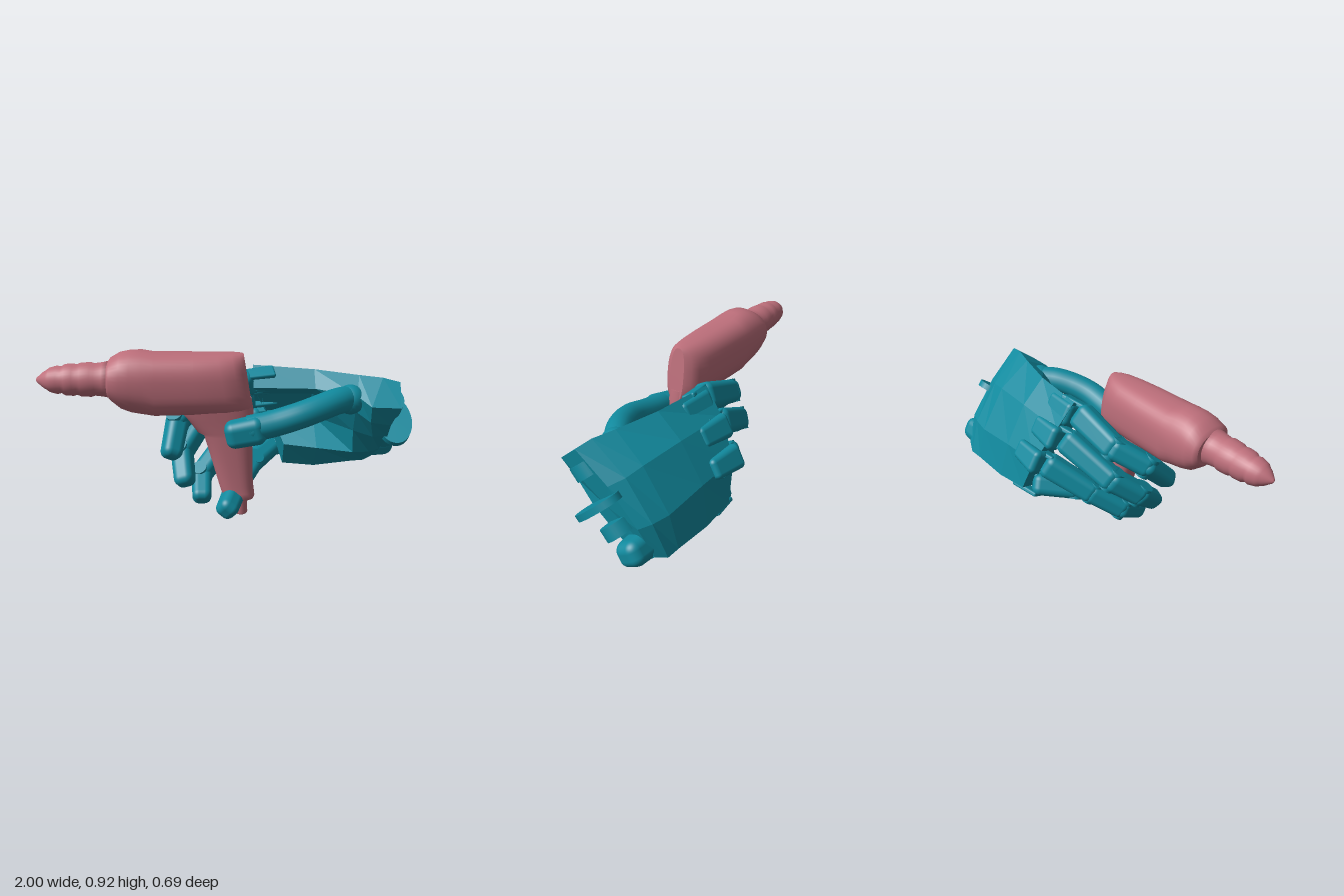
import * as THREE from 'three';
import { RoundedBoxGeometry } from 'three/addons/geometries/RoundedBoxGeometry.js';

const V = (x, y, z) => new THREE.Vector3(x, y, z);
const teal = new THREE.MeshStandardMaterial({ color: 0x118a9e });
const tealFlat = new THREE.MeshStandardMaterial({ color: 0x118a9e, flatShading: true });
const pink = new THREE.MeshStandardMaterial({ color: 0xbd6f7b });

function add(parent, name, geometry, material) {
  const mesh = new THREE.Mesh(geometry, material);
  mesh.name = name;
  parent.add(mesh);
  return mesh;
}

// Closed skin through a row of rings, capped at both ends, always facing outward
function loft(rings) {
  const n = rings[0].length, pos = [], idx = [];
  rings.forEach(r => r.forEach(p => pos.push(p.x, p.y, p.z)));
  for (let i = 0; i < rings.length - 1; i++) {
    for (let j = 0; j < n; j++) {
      const a = i * n + j, b = i * n + (j + 1) % n;
      idx.push(a, b, a + n, b, b + n, a + n);
    }
  }
  for (const [ring, flip] of [[rings[0], true], [rings[rings.length - 1], false]]) {
    const c = ring.reduce((s, p) => s.add(p), V(0, 0, 0)).divideScalar(n);
    const base = pos.length / 3;
    [...ring, c].forEach(p => pos.push(p.x, p.y, p.z));
    for (let j = 0; j < n; j++) {
      const a = base + j, b = base + (j + 1) % n;
      if (flip) idx.push(b, a, base + n); else idx.push(a, b, base + n);
    }
  }
  let volume = 0;
  const P = i => V(pos[3 * i], pos[3 * i + 1], pos[3 * i + 2]);
  for (let i = 0; i < idx.length; i += 3) {
    volume += P(idx[i]).dot(P(idx[i + 1]).cross(P(idx[i + 2])));
  }
  if (volume < 0) idx.reverse();
  const g = new THREE.BufferGeometry();
  g.setAttribute('position', new THREE.Float32BufferAttribute(pos, 3));
  g.setIndex(idx);
  g.computeVertexNormals();
  return g;
}

// Rounded-square outline; place() turns its two coordinates into a point
function ring(power, place, n = 40) {
  return Array.from({ length: n }, (_, i) => {
    const t = i / n * Math.PI * 2, c = Math.cos(t), s = Math.sin(t);
    const f = v => Math.sign(v) * Math.abs(v) ** (2 / power);
    return place(f(c), f(s));
  });
}

// Tapered, well rounded block from a to b, its flat back turned along "back"
function link(parent, name, a, b, w0, w1, t0, t1, overlap = 0.02, back = V(0, 0.5, -0.86)) {
  const d = b.clone().sub(a), len = d.length() + overlap * 2;
  d.normalize();
  const g = new RoundedBoxGeometry(w0, len, t0, 6, Math.min(w0, len, t0) * 0.36);
  const p = g.attributes.position;
  for (let i = 0; i < p.count; i++) {
    const k = p.getY(i) / len + 0.5;
    p.setX(i, p.getX(i) * THREE.MathUtils.lerp(1, w1 / w0, k));
    p.setZ(i, p.getZ(i) * THREE.MathUtils.lerp(1, t1 / t0, k));
  }
  const n = back.clone().addScaledVector(d, -back.dot(d)).normalize();
  g.applyMatrix4(new THREE.Matrix4().makeBasis(d.clone().cross(n), d, n));
  add(parent, name, g, teal).position.copy(a).add(b).multiplyScalar(0.5);
}

// Cylinder whose axis follows a given direction
function disc(parent, name, at, axis, radius, width, stretch = 1) {
  const g = new THREE.CylinderGeometry(radius, radius, width, 32);
  g.scale(1, 1, stretch);
  const y = axis.clone().normalize(), x = V(1, 0, 0).addScaledVector(y, -y.x).normalize();
  g.applyMatrix4(new THREE.Matrix4().makeBasis(x, y, x.clone().cross(y)));
  add(parent, name, g, teal).position.copy(at);
}

function makeDrill() {
  const drill = new THREE.Group();
  drill.name = 'drill';
  // Motor housing: x, centre y, half height, half depth, centre z
  const body = [
    [-0.635, 0.77, 0.088, 0.11, 0.18], [-0.62, 0.77, 0.108, 0.132, 0.177], [-0.57, 0.762, 0.145, 0.138, 0.177],
    [-0.52, 0.757, 0.16, 0.14, 0.177], [-0.46, 0.752, 0.167, 0.14, 0.175], [-0.4, 0.742, 0.163, 0.138, 0.175],
    [-0.2, 0.741, 0.161, 0.133, 0.172], [-0.05, 0.74, 0.161, 0.122, 0.168], [0.02, 0.74, 0.16, 0.105, 0.166],
    [0.06, 0.74, 0.158, 0.08, 0.165], [0.083, 0.74, 0.155, 0.045, 0.165]];
  add(drill, 'motorHousing', loft(body.map(([x, cy, h, d, cz], i) =>
    ring(i > 4 ? 2.6 : 2.2, (u, v) => V(x - (i > 6 ? v * 0.025 : 0), cy + v * h, cz + u * d)))), pink);
  // Chuck with soft steps and a pointed end
  const nose = [[0, -0.6], [0.1, -0.6], [0.088, -0.66], [0.083, -0.7], [0.089, -0.72], [0.086, -0.77],
    [0.078, -0.79], [0.083, -0.81], [0.08, -0.85], [0.068, -0.87], [0.073, -0.89], [0.062, -0.93],
    [0.05, -0.945], [0.042, -0.96], [0.012, -0.995], [0, -1]];
  const chuck = add(drill, 'chuck',
    new THREE.LatheGeometry(nose.map(([r, y]) => new THREE.Vector2(r, -y)), 32), pink);
  chuck.rotation.z = Math.PI / 2;
  chuck.position.set(0, 0.77, 0.187);
  // Handle: y, front x, rear x, half depth
  const grip = [[0.66, -0.3, 0.1, 0.09], [0.59, -0.27, 0.112, 0.085], [0.55, -0.235, 0.112, 0.08],
    [0.48, -0.185, 0.108, 0.075], [0.46, -0.15, 0.106, 0.074], [0.3, -0.105, 0.108, 0.075], [0.18, -0.072, 0.112, 0.076],
    [0.14, -0.06, 0.117, 0.08], [0.115, -0.05, 0.12, 0.08], [0.1, -0.04, 0.115, 0.07]];
  add(drill, 'handle', loft(grip.map(([y, x0, x1, d]) =>
    ring(2.6, (u, v) => V((x0 + x1) / 2 + u * (x1 - x0) / 2, y, 0.165 + v * d)))), pink);
  const stub = [[0, 0], [0.03, 0], [0.036, 0.008], [0.034, 0.09], [0.045, 0.11], [0, 0.11]];
  add(drill, 'cordStub', new THREE.LatheGeometry(stub.map(([r, y]) => new THREE.Vector2(r, y)), 24), pink)
    .position.set(0.047, 0, 0.165);
  return drill;
}

function makeHand() {
  const hand = new THREE.Group();
  hand.name = 'hand';
  // Palm sections from knuckles to wrist, each going round: index edge, back, little-finger edge, hollow inside
  const sections = [
    [[0.12, 0.67, 0.03], [0.12, 0.775, -0.06], [0.14, 0.64, -0.17], [0.2, 0.45, -0.29], [0.28, 0.24, -0.32],
      [0.3, 0.17, -0.13], [0.3, 0.31, -0.06], [0.24, 0.42, -0.22], [0.14, 0.6, -0.1]],
    [[0.45, 0.67, 0.06], [0.45, 0.76, -0.01], [0.45, 0.64, -0.15], [0.45, 0.43, -0.28], [0.48, 0.22, -0.33],
      [0.48, 0.16, -0.11], [0.48, 0.3, -0.02], [0.48, 0.43, -0.2], [0.45, 0.6, -0.08]],
    [[0.66, 0.655, 0.16], [0.68, 0.745, 0.06], [0.7, 0.62, -0.12], [0.7, 0.4, -0.27], [0.7, 0.22, -0.32],
      [0.7, 0.18, -0.12], [0.68, 0.28, 0.0], [0.67, 0.42, 0.03], [0.66, 0.56, 0.12]],
    [[0.72, 0.62, 0.24], [0.8, 0.74, 0.1], [0.8, 0.6, -0.1], [0.8, 0.4, -0.25], [0.78, 0.22, -0.32],
      [0.78, 0.16, -0.18], [0.78, 0.27, -0.03], [0.77, 0.4, 0.08], [0.73, 0.52, 0.19]],
    [[0.87, 0.615, 0.245], [0.89, 0.72, 0.12], [0.88, 0.58, -0.06], [0.87, 0.4, -0.22], [0.84, 0.25, -0.29],
      [0.83, 0.17, -0.21], [0.84, 0.28, -0.05], [0.85, 0.4, 0.08], [0.84, 0.5, 0.18]]];
  add(hand, 'palm', loft(sections.map(s => s.map(p => V(...p)))), tealFlat);

  // Wrist lugs: position, radius, thickness, stretch
  const across = V(0, -0.75, -0.65);
  [[V(0.84, 0.6, 0.1), 0.075, 0.075, 1.1], [V(0.9, 0.46, -0.01), 0.1, 0.035, 1.5],
    [V(0.87, 0.36, -0.1), 0.085, 0.07, 0.9]]
    .forEach(([at, r, w, s]) => disc(hand, 'wristLug', at, across, r, w, s));
  link(hand, 'wristKnob', V(0.78, 0.27, -0.2), V(0.92, 0.27, -0.2), 0.15, 0.13, 0.16, 0.14, 0.03);

  // Fingers: knuckle, middle joint, end joint, tip, width at the root, width beyond
  const fingers = {
    index: [V(0.1, 0.69, -0.03), V(-0.15, 0.605, -0.02), V(-0.29, 0.51, 0.09), V(-0.32, 0.38, 0.21), 0.15, 0.125],
    middle: [V(0.1, 0.57, -0.13), V(-0.18, 0.43, -0.06), V(-0.27, 0.32, 0.06), V(-0.255, 0.21, 0.18), 0.145, 0.125],
    ring: [V(0.15, 0.43, -0.23), V(-0.05, 0.285, -0.09), V(-0.165, 0.175, 0.03), V(-0.165, 0.1, 0.15), 0.14, 0.12],
    little: [V(0.25, 0.24, -0.24), V(0.12, 0.2, -0.07), V(0.03, 0.14, 0.11), V(-0.03, 0.083, 0.29), 0.125, 0.13]
  };
  for (const [name, [a, b, c, d, w0, w]] of Object.entries(fingers)) {
    const finger = new THREE.Group();
    finger.name = name + 'Finger';
    hand.add(finger);
    link(finger, 'lowerLink', a, b, w0, w, 0.115, w * 0.95, 0.025);
    link(finger, 'middleLink', b, c, w, w * 0.95, w * 0.95, w * 0.92, 0.03);
    link(finger, 'fingertip', c, d, w * 0.95, w * 0.85, w * 0.92, w * 0.82, 0.04);
    const axis = b.clone().sub(a).cross(V(0, 0.5, -0.86)).normalize();
    for (const joint of [b, c]) disc(finger, 'jointPin', joint, axis, w * 0.36, w);
    // Forked knuckle reaching back into the palm
    for (const s of [-1, 1]) {
      const off = axis.clone().multiplyScalar(s * w * 0.42);
      const root = a.clone().add(off).add(V(0.13, 0.01, -0.02));
      link(finger, 'knuckleFork', root, a.clone().add(off), 0.03, 0.025, 0.08, 0.07);
    }
  }
  // Rounded covers over the three upper knuckles
  [V(0.2, 0.69, -0.07), V(0.2, 0.585, -0.18), V(0.235, 0.455, -0.28)].forEach(at =>
    link(hand, 'knuckleCover', at.clone().add(V(0.1, 0, 0.015)), at.clone().add(V(-0.06, 0, 0)),
      0.11, 0.14, 0.07, 0.1));

  // Thumb: smooth arched rod with a rounded tip
  const path = new THREE.CatmullRomCurve3([V(0.72, 0.6, 0.08), V(0.64, 0.625, 0.1), V(0.55, 0.632, 0.165),
    V(0.45, 0.615, 0.222), V(0.35, 0.59, 0.258), V(0.2, 0.548, 0.272), V(0.08, 0.525, 0.28)]);
  const thumb = new THREE.Group();
  thumb.name = 'thumb';
  hand.add(thumb);
  add(thumb, 'thumbRod', new THREE.TubeGeometry(path, 40, 0.07, 20), teal);
  add(thumb, 'thumbBase', new THREE.SphereGeometry(0.08, 24, 16), teal).position.set(0.63, 0.625, 0.11);
  add(thumb, 'thumbJoint', new THREE.SphereGeometry(0.071, 24, 16), teal).position.set(0.1, 0.525, 0.28);
  link(thumb, 'thumbTip', V(0.11, 0.52, 0.287), V(0.015, 0.5, 0.283), 0.15, 0.14, 0.13, 0.115, 0.055, V(0, 0, 1));
  return hand;
}

export function createModel() {
  const model = new THREE.Group();
  model.name = 'handHoldingDrill';
  model.add(makeDrill(), makeHand());
  return model;
}
